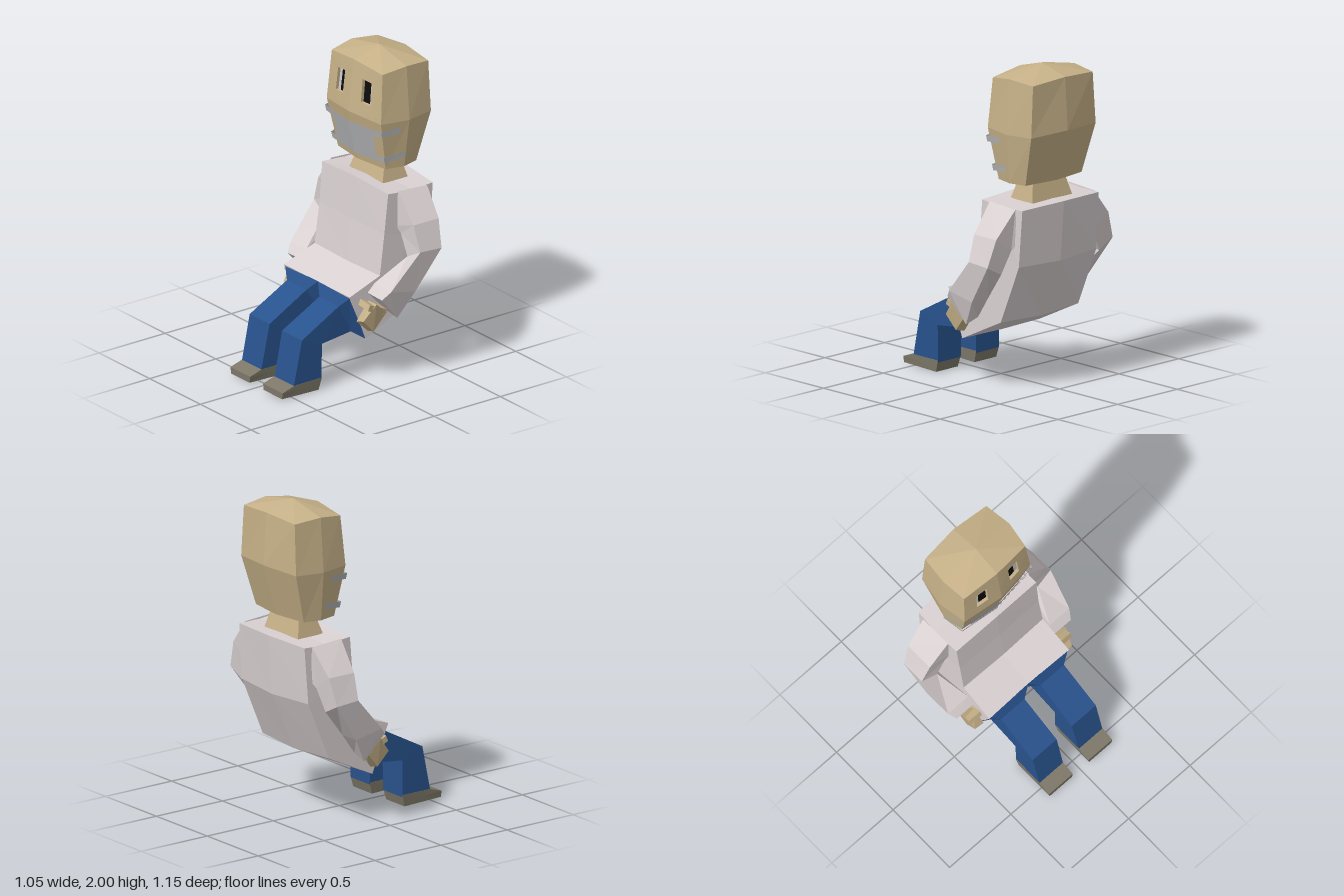
import * as THREE from 'three';

const V = (p) => new THREE.Vector3(...p);
const mix = (a, b, t) => a.map((v, i) => v + (b[i] - v) * t);
const quad = (a, b, c, d) => [[a, b, c], [a, c, d]];
const mirror = (pts, s) => pts.map(([x, y, z]) => [x * s, y, z]);

const material = (color, side = THREE.FrontSide) =>
  new THREE.MeshStandardMaterial({ color, flatShading: true, side });
const skin = material(0xc6b188);
const skinThin = material(0xc6b188, THREE.DoubleSide);
const shirt = material(0xd9d0d1);
const denim = material(0x28528c);
const sole = material(0x7d7868);
const cloth = material(0xb2b3b5, THREE.DoubleSide);
const eyeWhite = material(0xcccccc, THREE.DoubleSide);
const black = material(0x0c0c0c, THREE.DoubleSide);

// Faceted mesh from triangles
function mesh(name, mat, tris) {
  const g = new THREE.BufferGeometry();
  g.setAttribute('position', new THREE.Float32BufferAttribute(tris.flat(2), 3));
  g.computeVertexNormals();
  const m = new THREE.Mesh(g, mat);
  m.name = name;
  return m;
}

// Skin rings of equal size, with end caps; turned outwards by signed volume
function loft(rings, { start, end, skip = () => false } = {}) {
  const tris = [], n = rings[0].length;
  const mean = (r) => r[0].map((_, k) => r.reduce((s, p) => s + p[k], 0) / n);
  for (let j = 0; j < rings.length - 1; j++)
    for (let i = 0; i < n; i++) {
      if (skip(j, i)) continue;
      const k = (i + 1) % n;
      tris.push(...quad(rings[j][i], rings[j][k], rings[j + 1][k], rings[j + 1][i]));
    }
  const first = rings[0], last = rings[rings.length - 1];
  const a = start || mean(first), b = end || mean(last);
  for (let i = 0; i < n; i++) {
    const k = (i + 1) % n;
    tris.push([a, first[k], first[i]], [b, last[i], last[k]]);
  }
  const o = V(mix(a, b, 0.5));
  const vol = tris.reduce((s, t) => {
    const [p, q, r] = t.map((c) => V(c).sub(o));
    return s + p.dot(q.cross(r));
  }, 0);
  return vol < 0 ? tris.map(([p, q, r]) => [p, r, q]) : tris;
}

// Eight-point ring: corners plus mid points on front, sides and back
const ring8 = (f, fc, s, bc, b) => [
  f, fc, s, bc, b, ...mirror([bc, s, fc], -1),
];

// Four-point ring for limbs, x0..x1 wide, from top (y, z) to bottom (y, z)
const ring4 = (x0, x1, [yt, zt], [yb, zb]) =>
  [[x0, yt, zt], [x1, yt, zt], [x1, yb, zb], [x0, yb, zb]];

// Head -----------------------------------------------------------------
const jaw = ring8([0, 1.295, -0.19], [0.235, 1.295, -0.22], [0.262, 1.295, -0.34], [0.235, 1.295, -0.45], [0, 1.295, -0.48]);
const cheek = ring8([0, 1.62, -0.122], [0.268, 1.61, -0.16], [0.3, 1.605, -0.35], [0.27, 1.61, -0.535], [0, 1.62, -0.572]);
const brow = ring8([0, 1.947, -0.163], [0.25, 1.922, -0.185], [0.272, 1.945, -0.35], [0.25, 1.93, -0.53], [0, 1.947, -0.55]);

function createHead() {
  const head = new THREE.Group();
  head.name = 'head';
  head.add(mesh('skull', skin, loft([jaw, cheek, brow], {
    end: [0, 2, -0.35],
    skip: (j, i) => j === 1 && (i === 0 || i === 7), // upper face has eye sockets
  })));

  for (const s of [1, -1]) {
    const c = mirror([cheek[0], cheek[1], brow[1], brow[0]], s);
    const at = (u, v, d = 0) => {
      const p = mix(mix(c[0], c[1], u), mix(c[3], c[2], u), v);
      return [p[0], p[1], p[2] - d];
    };
    const U = [0, 0.34, 0.65, 1], W = [0, 0.27, 0.72, 1], depth = 0.02;
    const patch = (u0, u1, v0, v1, d) => quad(at(u0, v0, d), at(u1, v0, d), at(u1, v1, d), at(u0, v1, d));
    const face = [];
    for (let i = 0; i < 3; i++)
      for (let j = 0; j < 3; j++)
        if (i !== 1 || j !== 1) face.push(...patch(U[i], U[i + 1], W[j], W[j + 1], 0));
    // Socket walls
    const hole = [[U[1], W[1]], [U[2], W[1]], [U[2], W[2]], [U[1], W[2]]];
    hole.forEach((p, i) => {
      const q = hole[(i + 1) % 4];
      face.push(...quad(at(...p), at(...q), at(...q, depth), at(...p, depth)));
    });
    head.add(mesh('upperFace', skinThin, face));
    const split = 0.55;
    head.add(mesh('pupil', black, patch(U[1], split, W[1], W[2], depth)));
    head.add(mesh('eyeWhite', eyeWhite, patch(split, U[2], W[1], W[2], depth)));
  }

  // Point on the lower head: a = 0 front centre, 1 front corner, 2 side
  const onJaw = (a, y, off) => {
    const t = (y - 1.295) / 0.325, s = Math.sign(a), k = Math.abs(a);
    const e = [0, 1, 2].map((i) => mix(jaw[i], cheek[i], t));
    const p = k <= 1 ? mix(e[0], e[1], k) : mix(e[1], e[2], k - 1);
    return [s * (p[0] + (k >= 1 ? off : 0)), y, p[2] + (k <= 1 ? off : 0)];
  };
  const ribbon = (stations, off) => {
    const tris = [];
    for (let i = 0; i < stations.length - 1; i++) {
      const [a, l0, h0] = stations[i], [b, l1, h1] = stations[i + 1];
      tris.push(...quad(onJaw(a, l0, off), onJaw(b, l1, off), onJaw(b, h1, off), onJaw(a, h0, off)));
    }
    return tris;
  };
  head.add(mesh('mask', cloth, ribbon(
    [[-0.8, 1.36, 1.555], [-0.4, 1.355, 1.545], [0, 1.35, 1.55], [0.4, 1.355, 1.545], [0.76, 1.36, 1.555]], 0.012)));
  const strap = (y, rise, end) => {
    const st = [[end, rise], [1, 0.004], [0.6, 0], [0, 0]].map(([a, r]) => [a, y + r - 0.019, y + r + 0.019]);
    return [...st.map(([a, l, h]) => [-a, l, h]), ...st.slice(0, -1).reverse()];
  };
  head.add(mesh('upperStrap', cloth, ribbon(strap(1.54, 0.016, 1.65), 0.016)));
  head.add(mesh('lowerStrap', cloth, ribbon(strap(1.363, 0.022, 1.9), 0.016)));
  return head;
}

export function createModel() {
  const model = new THREE.Group();
  model.name = 'seatedFigure';
  model.add(createHead());

  model.add(mesh('neck', skin, loft([
    ring4(-0.165, 0.165, [1.17, -0.25], [1.17, -0.44]),
    ring4(-0.13, 0.13, [1.31, -0.295], [1.31, -0.405]),
  ])));

  // Sweater body, bent forward at the waist
  model.add(mesh('sweater', shirt, loft([
    ring8([0, 1.19, -0.165], [0.325, 1.175, -0.17], [0.33, 1.16, -0.35], [0.32, 1.165, -0.51], [0, 1.175, -0.54]),
    ring8([0, 0.92, -0.14], [0.32, 0.92, -0.145], [0.325, 0.87, -0.32], [0.325, 0.81, -0.485], [0, 0.8, -0.51]),
    ring8([0, 0.655, -0.105], [0.322, 0.66, -0.11], [0.325, 0.55, -0.22], [0.325, 0.44, -0.33], [0, 0.43, -0.35]),
    ring8([0, 0.57, 0.11], [0.325, 0.578, 0.12], [0.325, 0.43, 0.06], [0.325, 0.28, 0], [0, 0.275, 0]),
  ])));

  for (const s of [1, -1]) {
    const side = s > 0 ? 'left' : 'right';
    const limb = (name, mat, rings) =>
      model.add(mesh(side + name, mat, loft(rings.map((r) => mirror(r, s)))));

    // Sleeve: outer front, outer back, inner back, inner front
    limb('Sleeve', shirt, [
      [[0.33, 1.178, -0.24], [0.33, 1.165, -0.46], [0.31, 0.95, -0.46], [0.31, 0.95, -0.24]],
      [[0.47, 1.0, -0.25], [0.47, 1.0, -0.44], [0.345, 0.91, -0.44], [0.345, 0.91, -0.25]],
      [[0.525, 0.84, -0.26], [0.525, 0.83, -0.42], [0.41, 0.77, -0.42], [0.41, 0.78, -0.25]],
      [[0.495, 0.62, -0.06], [0.49, 0.58, -0.25], [0.355, 0.58, -0.25], [0.335, 0.63, -0.06]],
      [[0.465, 0.57, -0.015], [0.44, 0.415, -0.15], [0.33, 0.44, -0.14], [0.325, 0.575, -0.015]],
    ]);

    limb('Palm', skin, [
      [[0.42, 0.53, -0.01], [0.4, 0.45, -0.1], [0.34, 0.45, -0.1], [0.34, 0.53, -0.01]],
      [[0.395, 0.43, 0.07], [0.39, 0.345, -0.01], [0.31, 0.325, -0.015], [0.325, 0.41, 0.07]],
    ]);
    limb('Thumb', skin, [
      [[0.415, 0.5, 0.05], [0.415, 0.535, 0.035], [0.325, 0.55, 0.04], [0.325, 0.515, 0.055]],
      [[0.4, 0.435, -0.09], [0.4, 0.47, -0.105], [0.33, 0.48, -0.1], [0.33, 0.445, -0.085]],
    ]);

    // Hip half flaring into the leg, then knee and ankle
    limb('TrouserLeg', denim, [
      ring4(0, 0.324, [0.573, 0.112], [0.28, 0.002]),
      ring4(0.065, 0.256, [0.505, 0.15], [0.32, 0.06]),
      ring4(0.062, 0.258, [0.355, 0.43], [0.295, 0.28]),
      ring4(0.065, 0.256, [0.07, 0.49], [0.062, 0.28]),
    ]);

    const foot = (x) => [[0.075, 0.28], [0.075, 0.485], [0.048, 0.575], [0.008, 0.575], [0, 0.3]]
      .map(([y, z]) => [y < 0.02 ? x * 0.94 + 0.0096 : x, y, z]);
    limb('Shoe', sole, [foot(0.064), foot(0.258)]);
  }
  return model;
}
